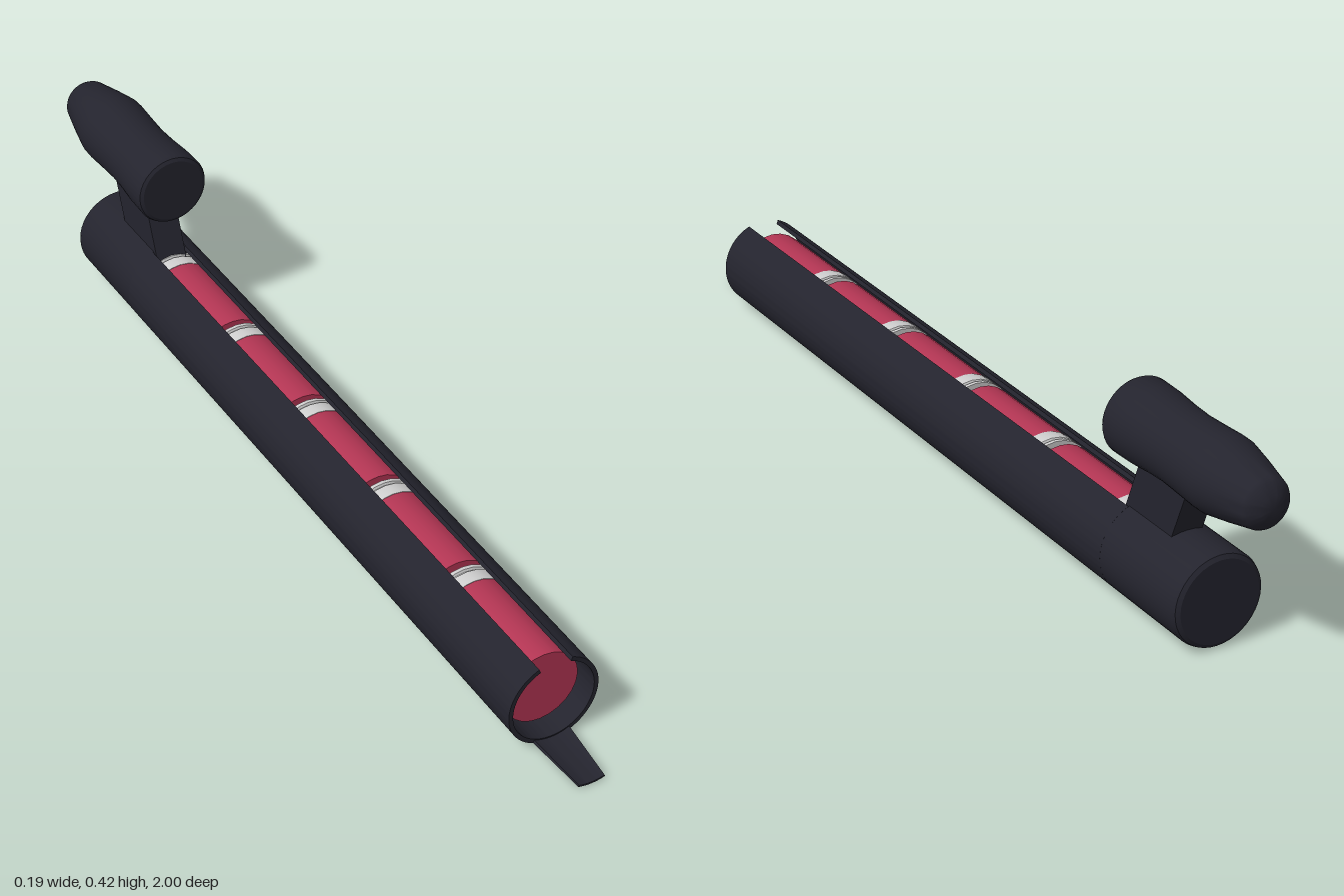
import * as THREE from 'three';
import { toCreasedNormals } from 'three/addons/utils/BufferGeometryUtils.js';

const dark = new THREE.MeshStandardMaterial({ name: 'dark casing', color: 0x24242e });
const red = new THREE.MeshStandardMaterial({ name: 'red shell', color: 0xb43654 });
const pale = new THREE.MeshStandardMaterial({ name: 'pale metal', color: 0xcfcfcf });

const TUBE_Y = 0.097, R = 0.095, INNER = 0.086;
const SLOT_BACK = -0.615, FRONT = 0.87;

// Solid of revolution about z; profile is [radius, z] with z increasing
function turned(profile, segments = 40) {
  const geo = new THREE.LatheGeometry(profile.map(([r, z]) => new THREE.Vector2(r, z)), segments);
  geo.rotateX(Math.PI / 2);
  return toCreasedNormals(geo, 0.5);
}

// Curved wall between two angles, extruded along z
function curvedWall(a0, a1, inner, outer, depth, segments) {
  const shape = new THREE.Shape();
  shape.absarc(0, 0, outer, a0, a1, false);
  shape.absarc(0, 0, inner, a1, a0, true);
  return new THREE.ExtrudeGeometry(shape, { depth, bevelEnabled: false, curveSegments: segments });
}

export function createModel() {
  const model = new THREE.Group();
  model.name = 'shellTubeWithHandle';
  const add = (name, geo, mat, y = 0, z = 0, parent = model) => {
    const mesh = new THREE.Mesh(geo, mat);
    mesh.name = name;
    mesh.position.set(0, y, z);
    parent.add(mesh);
    return mesh;
  };

  // Tube with a slot along its top
  const gap = Math.asin(0.035 / R);
  const wall = curvedWall(Math.PI / 2 + gap, Math.PI * 2.5 - gap, INNER, R, FRONT - SLOT_BACK, 44);
  add('slottedTube', toCreasedNormals(wall, 0.5), dark, TUBE_Y, SLOT_BACK);

  // Closed rear end with a bevelled edge
  add('tubeEnd', turned([[0, -0.856], [0.084, -0.856], [0.092, -0.851], [R, -0.842],
    [R, SLOT_BACK], [0, SLOT_BACK]]), dark, TUBE_Y);

  // Tapered lip continuing the tube floor
  const spread = Math.asin(0.042 / R), lipLength = 0.15;
  const lip = curvedWall(-Math.PI / 2 - spread, -Math.PI / 2 + spread, 0.088, 0.0945, lipLength, 10);
  const p = lip.attributes.position;
  for (let i = 0; i < p.count; i++) {
    const r = Math.hypot(p.getX(i), p.getY(i));
    const t = p.getZ(i) / lipLength;
    const a = Math.atan2(p.getX(i), -p.getY(i)) * (1 - 0.34 * t);
    const rr = r + (r < 0.091 ? 0.003 * t : 0);
    p.setXY(i, Math.sin(a) * rr, -Math.cos(a) * rr);
  }
  lip.computeVertexNormals();
  add('lip', toCreasedNormals(lip, 0.5), dark, TUBE_Y, 1 - lipLength);

  // Row of shells inside the tube
  const body = turned([[0.077, 0.045], [0.077, 0.275], [0, 0.275]], 24);
  const base = turned([[0, 0], [0.078, 0], [0.078, 0.008], [0.073, 0.010],
    [0.073, 0.013], [0.078, 0.016], [0.078, 0.045], [0.077, 0.045]], 24);
  for (let i = 0; i < 5; i++) {
    const shell = new THREE.Group();
    shell.name = 'shell' + (i + 1);
    shell.position.set(0, TUBE_Y, -0.605 + i * 0.29);
    add('shellBody', body, red, 0, 0, shell);
    add('shellBase', base, pale, 0, 0, shell);
    model.add(shell);
  }

  // Slanted neck, drawn as [z, y] and extruded across x
  const side = new THREE.Shape([[-0.592, 0.155], [-0.652, 0.31], [-0.797, 0.31], [-0.737, 0.155]]
    .map(([z, y]) => new THREE.Vector2(-z, y)));
  const neck = new THREE.ExtrudeGeometry(side, { depth: 0.066, bevelEnabled: false });
  neck.translate(0, 0, -0.033);
  neck.rotateY(Math.PI / 2);
  add('neck', neck, dark);

  // Waisted handle with a tapered, slightly domed rear
  add('handle', turned([[0, -1], [0.025, -0.996], [0.046, -0.982], [0.05, -0.975],
    [0.065, -0.91], [0.075, -0.86], [0.0755, -0.84], [0.073, -0.79], [0.071, -0.74],
    [0.073, -0.69], [0.077, -0.64], [0.078, -0.59], [0.075, -0.584], [0.068, -0.58], [0, -0.58]]),
    dark, 0.348);

  return model;
}
